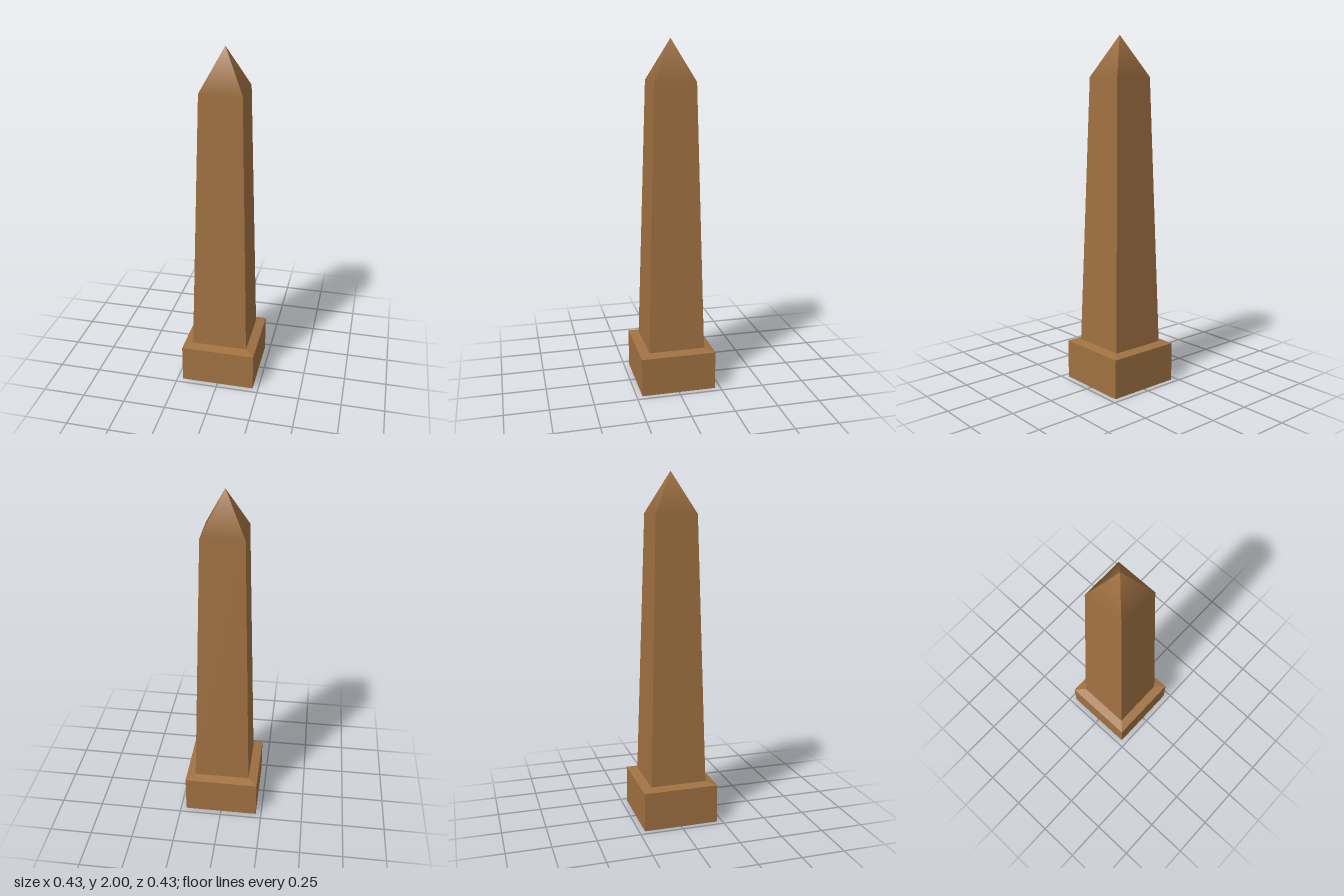
import * as THREE from 'three';

const stone = new THREE.MeshStandardMaterial({ color: 0xa07142 });
stone.name = 'brown stone';

// Square frustum given by half widths and heights, with hard edges
function frustum(name, bottomHalf, topHalf, y0, y1, openEnded = true) {
  const r = Math.SQRT2;
  let geo = new THREE.CylinderGeometry(topHalf * r, bottomHalf * r, y1 - y0, 4, 1, openEnded);
  geo.rotateY(Math.PI / 4);
  geo.translate(0, (y0 + y1) / 2, 0);
  geo = geo.toNonIndexed();
  geo.computeVertexNormals();
  const mesh = new THREE.Mesh(geo, stone);
  mesh.name = name;
  return mesh;
}

export function createModel() {
  const model = new THREE.Group();
  model.name = 'obelisk';

  // Plinth block and the shallow sloped ledge on top of it
  const plinth = frustum('plinth', 0.217, 0.217, 0, 0.226, false);
  const ledge = frustum('plinthLedge', 0.217, 0.163, 0.226, 0.238);

  // Tapered shaft
  const shaftBottom = 0.163, shaftTop = 0.119, y0 = 0.238, y1 = 1.77;
  const shaft = frustum('shaft', shaftBottom, shaftTop, y0, y1);

  // Pointed cap, whose lower edge blends smoothly into the shaft faces
  const cap = frustum('pyramidCap', shaftTop, 0, y1, 2);
  const { position, normal } = cap.geometry.attributes;
  const lean = (shaftBottom - shaftTop) / (y1 - y0);
  const n = new THREE.Vector3();
  for (let i = 0; i < position.count; i++) {
    if (position.getY(i) > 1.9) continue;
    n.fromBufferAttribute(normal, i).setY(0).normalize().setY(lean).normalize();
    normal.setXYZ(i, n.x, n.y, n.z);
  }

  model.add(plinth, ledge, shaft, cap);
  return model;
}
